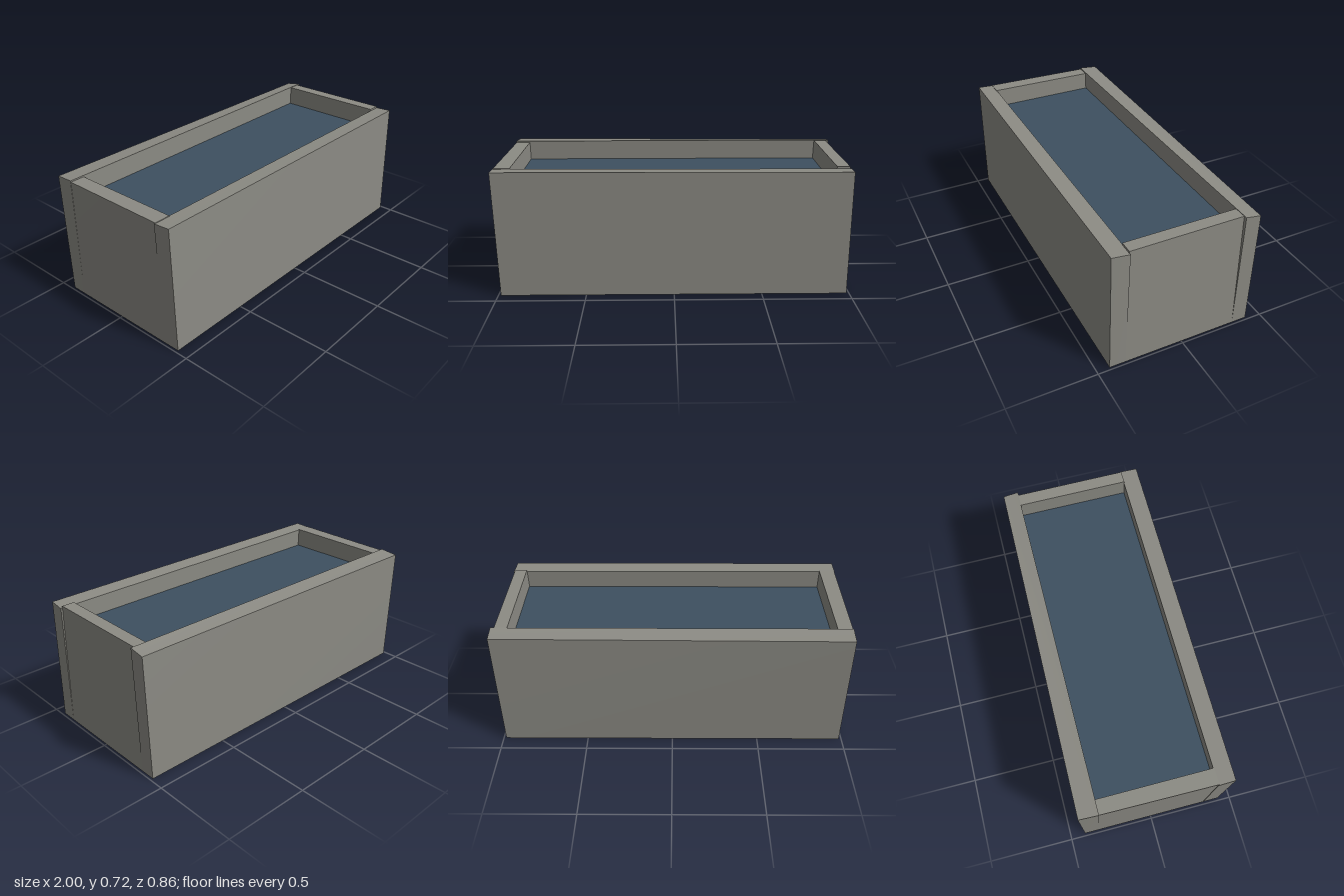
import * as THREE from 'three';

const stone = new THREE.MeshStandardMaterial({ color: 0x8c8b84 });
stone.name = 'stone grey';
const waterBlue = new THREE.MeshStandardMaterial({ color: 0x3d5060 });
waterBlue.name = 'water blue';

// Rough-cut block: a box whose eight corners are moved to given points.
// Corners of each ring run: left back, right back, left front, right front.
function block(name, bottom, top) {
  const geo = new THREE.BoxGeometry(1, 1, 1);
  const pos = geo.attributes.position;
  for (let i = 0; i < pos.count; i++) {
    const ring = pos.getY(i) > 0 ? top : bottom;
    const corner = (pos.getX(i) > 0 ? 1 : 0) + (pos.getZ(i) > 0 ? 2 : 0);
    pos.setXYZ(i, ...ring[corner]);
  }
  geo.computeVertexNormals();
  const mesh = new THREE.Mesh(geo, stone);
  mesh.name = name;
  return mesh;
}

export function createModel() {
  const group = new THREE.Group();
  group.name = 'trough';

  // Long walls
  group.add(block('frontWall',
    [[-0.985, 0, 0.335], [0.985, 0, 0.335], [-0.985, 0, 0.428], [0.985, 0, 0.428]],
    [[-1, 0.716, 0.325], [0.987, 0.71, 0.325], [-0.998, 0.722, 0.421], [0.98, 0.717, 0.423]]));
  group.add(block('backWall',
    [[-0.985, 0, -0.413], [0.985, 0, -0.413], [-0.985, 0, -0.325], [0.985, 0, -0.325]],
    [[-0.985, 0.713, -0.428], [0.996, 0.708, -0.406], [-0.99, 0.722, -0.317], [0.996, 0.723, -0.317]]));

  // Short end walls, set between the long walls
  group.add(block('leftWall',
    [[-0.985, 0, -0.33], [-0.9, 0, -0.33], [-0.985, 0, 0.34], [-0.9, 0, 0.34]],
    [[-0.988, 0.714, -0.33], [-0.905, 0.714, -0.33], [-0.996, 0.72, 0.33], [-0.905, 0.72, 0.33]]));
  group.add(block('rightWall',
    [[0.893, 0, -0.33], [0.985, 0, -0.33], [0.893, 0, 0.34], [0.985, 0, 0.34]],
    [[0.905, 0.72, -0.325], [0.977, 0.72, -0.325], [0.905, 0.722, 0.327], [0.977, 0.722, 0.327]]));

  // Floor slab inside the walls
  const floor = new THREE.Mesh(new THREE.BoxGeometry(1.82, 0.1, 0.68), stone);
  floor.name = 'floor';
  floor.position.y = 0.05;
  group.add(floor);

  // Water surface, running slightly into the walls
  const water = new THREE.Mesh(new THREE.PlaneGeometry(1.84, 0.68), waterBlue);
  water.name = 'water';
  water.rotation.x = -Math.PI / 2;
  water.position.y = 0.605;
  group.add(water);

  return group;
}
